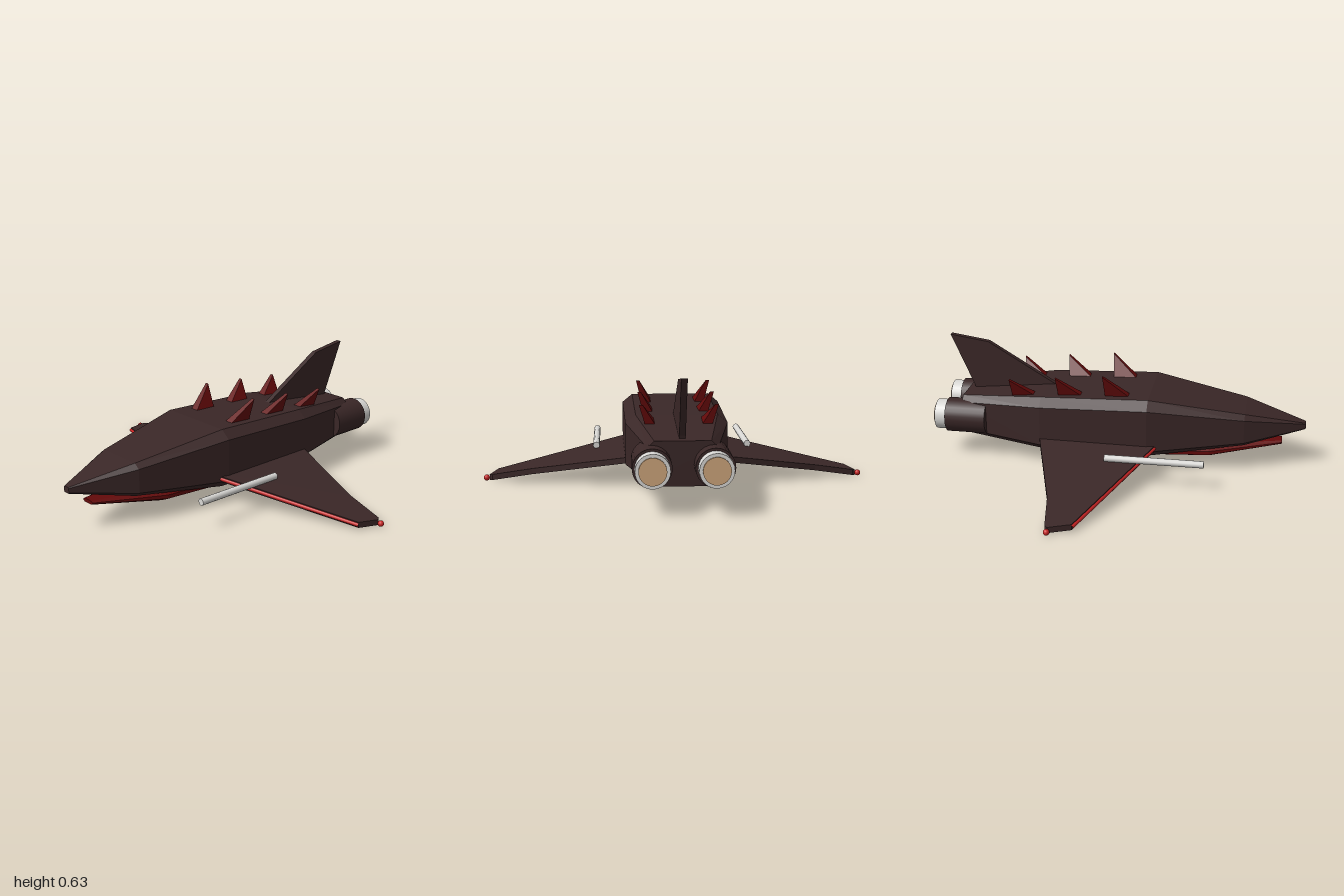
import * as THREE from 'three';

const paint = (name, color) => {
  const m = new THREE.MeshStandardMaterial({ color });
  m.name = name;
  return m;
};

// Non-indexed geometry gives every facet its own flat normal
function flat(positions, index) {
  const g = new THREE.BufferGeometry();
  g.setAttribute('position', new THREE.Float32BufferAttribute(positions, 3));
  g.setIndex(index);
  const out = g.toNonIndexed();
  out.computeVertexNormals();
  return out;
}

// Chamfered-box hull through stations [z, halfWidth, bottom, top], front to back
function loft(stations, chamferX, chamferY) {
  const p = [], idx = [], n = 8;
  for (const [z, w, y0, y1] of stations) {
    const a = w * (1 - chamferX), c = (y1 - y0) * chamferY;
    for (const [x, y] of [[w, y0 + c], [w, y1 - c], [a, y1], [-a, y1],
      [-w, y1 - c], [-w, y0 + c], [-a, y0], [a, y0]]) p.push(x, y, z);
  }
  for (let i = 0; i < stations.length - 1; i++) {
    for (let j = 0; j < n; j++) {
      const a = i * n + j, b = i * n + (j + 1) % n;
      idx.push(a, a + n, b, b, a + n, b + n);
    }
  }
  const last = (stations.length - 1) * n;
  for (let j = 1; j < n - 1; j++) {
    idx.push(0, j, j + 1, last, last + j + 1, last + j);
  }
  return flat(p, idx);
}

const shapeOf = (pts) => new THREE.Shape(pts.map(([x, y]) => new THREE.Vector2(x, y)));

// Wings droop in a straight line towards the tips
const wingY = (x) => 0.147 - (Math.abs(x) - 0.26) * 0.175;

function wingGeometry(side) {
  const outline = [[0.15, -0.43], [0.26, -0.4], [0.74, -0.25], [0.95, -0.215],
    [0.965, -0.2], [0.93, -0.09], [0.26, 0.21], [0.15, 0.26]];
  const g = new THREE.ExtrudeGeometry(shapeOf(outline.map(([x, z]) => [side * x, -z])),
    { depth: 0.03, bevelEnabled: false });
  g.rotateX(-Math.PI / 2);
  const pos = g.attributes.position;
  for (let i = 0; i < pos.count; i++) {
    pos.setY(i, pos.getY(i) - 0.015 + wingY(pos.getX(i)));
  }
  g.computeVertexNormals();
  return g;
}

// Swept spike leaning outwards, with a narrow edge at the top
function spikeGeometry(side, z, base, tip) {
  const p = [[0.11, base, z], [0.16, base, z], [0.165, base, z - 0.135],
    [0.115, base, z - 0.135], [0.177, tip, z - 0.145], [0.195, tip, z - 0.145]];
  const idx = [0, 1, 5, 0, 5, 4, 1, 2, 5, 2, 3, 4, 2, 4, 5, 3, 0, 4, 0, 3, 2, 0, 2, 1];
  if (side < 0) idx.reverse();
  return flat(p.flatMap(([x, y, zz]) => [side * x, y, zz]), idx);
}

export function createModel() {
  const group = new THREE.Group();
  group.name = 'spacecraft';
  const hull = paint('dark hull', 0x3a2727);
  const darkRed = paint('dark red', 0x640a0a);
  const red = paint('bright red', 0xcc2424);
  const metal = paint('pale metal', 0xdad9d6);
  const glow = paint('tan exhaust', 0xcfa67c);

  const add = (name, geometry, material, x = 0, y = 0, z = 0) => {
    const m = new THREE.Mesh(geometry, material);
    m.name = name;
    m.position.set(x, y, z);
    group.add(m);
    return m;
  };
  const rod = (r0, r1, length, sides) =>
    new THREE.CylinderGeometry(r0, r1, length, sides).rotateX(Math.PI / 2);

  // Fuselage and lower jaw
  add('fuselage', loft([
    [0.99, 0.02, 0.212, 0.245], [0.67, 0.16, 0.145, 0.32], [0.17, 0.265, 0.085, 0.4],
    [-0.4, 0.258, 0.085, 0.38], [-0.85, 0.165, 0.12, 0.335]], 0.2, 0.14), hull);
  add('lowerJaw', loft([
    [0.87, 0.04, 0.123, 0.142], [0.49, 0.16, 0.065, 0.132], [0, 0.19, 0.05, 0.125]],
  0.3, 0.35), darkRed);

  // Tail fin, a vertical plate along the centre line
  const fin = new THREE.ExtrudeGeometry(shapeOf([[0.35, 0.375], [0.4, 0.3], [0.8, 0.29],
    [0.82, 0.355], [0.94, 0.637], [0.73, 0.605]]), { depth: 0.03, bevelEnabled: false });
  fin.translate(0, 0, -0.015).rotateY(Math.PI / 2);
  add('tailFin', fin, hull);

  for (const s of [1, -1]) {
    const tag = s > 0 ? 'left' : 'right';

    // Wing with red leading edge and tip light
    add(tag + 'Wing', wingGeometry(s), hull);
    const a = new THREE.Vector3(s * 0.24, wingY(0.24), 0.217);
    const b = new THREE.Vector3(s * 0.93, wingY(0.93), -0.09);
    add(tag + 'LeadingEdge', new THREE.TubeGeometry(new THREE.LineCurve3(a, b), 1, 0.01, 8), red);
    add(tag + 'TipLight', new THREE.SphereGeometry(0.016, 12, 8), red, s * 0.98, 0.022, -0.2);

    // Wing cannon
    add(tag + 'Cannon', rod(0.018, 0.018, 0.51, 12), metal, s * 0.41, 0.15, 0.23);

    // Engine pod, nozzle ring and exhaust disc
    add(tag + 'Engine', rod(0.093, 0.093, 0.22, 24), hull, s * 0.145, 0.223, -0.82);
    add(tag + 'Nozzle', rod(0.081, 0.081, 0.065, 24), metal, s * 0.145, 0.223, -0.957);
    add(tag + 'Exhaust', rod(0.065, 0.065, 0.009, 24), glow, s * 0.145, 0.223, -0.993);

    // Row of three back spikes
    [[0.072, 0.385, 0.508], [-0.18, 0.375, 0.484], [-0.43, 0.36, 0.46]].forEach(([z, base, tip], i) =>
      add(tag + 'Spike' + (i + 1), spikeGeometry(s, z, base, tip), darkRed));
  }
  return group;
}
